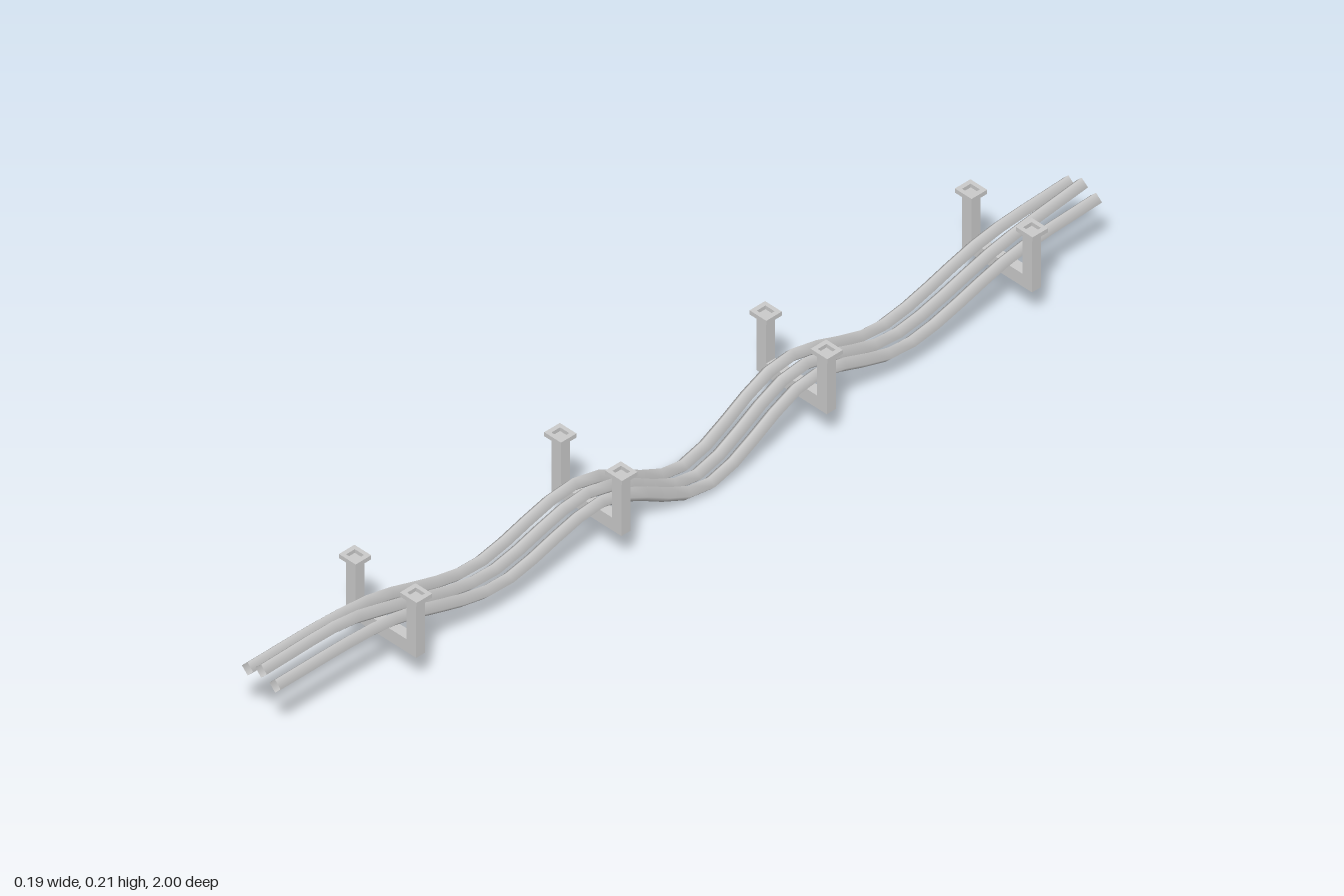
import * as THREE from 'three';

const material = new THREE.MeshStandardMaterial({ color: 0xcccccc });
const openMaterial = new THREE.MeshStandardMaterial({ color: 0xcccccc, side: THREE.DoubleSide });

// Extrude a shape to a given depth, centred on its extrusion axis
function slab(shape, depth) {
  return new THREE.ExtrudeGeometry(shape, { depth, bevelEnabled: false }).translate(0, 0, -depth / 2);
}

function rectangle(Type, w, h) {
  return new Type([[-w, -h], [w, -h], [w, h], [-w, h]].map(([x, y]) => new THREE.Vector2(x / 2, y / 2)));
}

// One sagging cable: an open four-sided tube hung over the brackets
function makeCable(x, endY, lowY, name) {
  const points = [
    [1, endY], [0.8, endY], [0.7, 0.13], [0.46, 0.07], [0.2, 0.119], [-0.05, lowY],
    [-0.3, 0.119], [-0.53, 0.065], [-0.8, 0.126], [-1, endY],
  ].map(([z, y]) => new THREE.Vector3(x, y, z));
  const path = new THREE.CatmullRomCurve3(points);
  const cable = new THREE.Mesh(new THREE.TubeGeometry(path, 36, 0.0143, 4, false), openMaterial);
  cable.name = name;
  return cable;
}

// U-shaped hanger with a mounting plate on top of each arm
function makeBracket(z) {
  const bracket = new THREE.Group();
  bracket.name = 'bracket';
  const outline = [
    [-0.088, 0.077], [0.088, 0.077], [0.088, 0.2], [0.064, 0.2],
    [0.064, 0.105], [-0.064, 0.105], [-0.064, 0.2], [-0.088, 0.2],
  ].map(([x, y]) => new THREE.Vector2(x, y));
  const hanger = new THREE.Mesh(slab(new THREE.Shape(outline), 0.022), material);
  hanger.name = 'hanger';
  bracket.add(hanger);

  // Plates with a shallow square recess over the arm
  for (const side of [-1, 1]) {
    const shape = rectangle(THREE.Shape, 0.042, 0.038);
    shape.holes.push(rectangle(THREE.Path, 0.023, 0.021));
    const plate = new THREE.Mesh(slab(shape, 0.009).rotateX(-Math.PI / 2), material);
    plate.position.set(side * 0.0765, 0.2035, 0);
    plate.name = side > 0 ? 'leftMountingPlate' : 'rightMountingPlate';
    bracket.add(plate);
  }
  bracket.position.z = z;
  return bracket;
}

export function createModel() {
  const model = new THREE.Group();
  model.name = 'cableRun';
  model.add(
    makeCable(-0.037, 0.139, 0.0175, 'rightCable'),
    makeCable(-0.003, 0.153, 0.0155, 'middleCable'),
    makeCable(0.032, 0.139, 0.0175, 'leftCable'),
  );
  for (const z of [0.7, 0.2, -0.3, -0.8]) model.add(makeBracket(z));
  return model;
}
